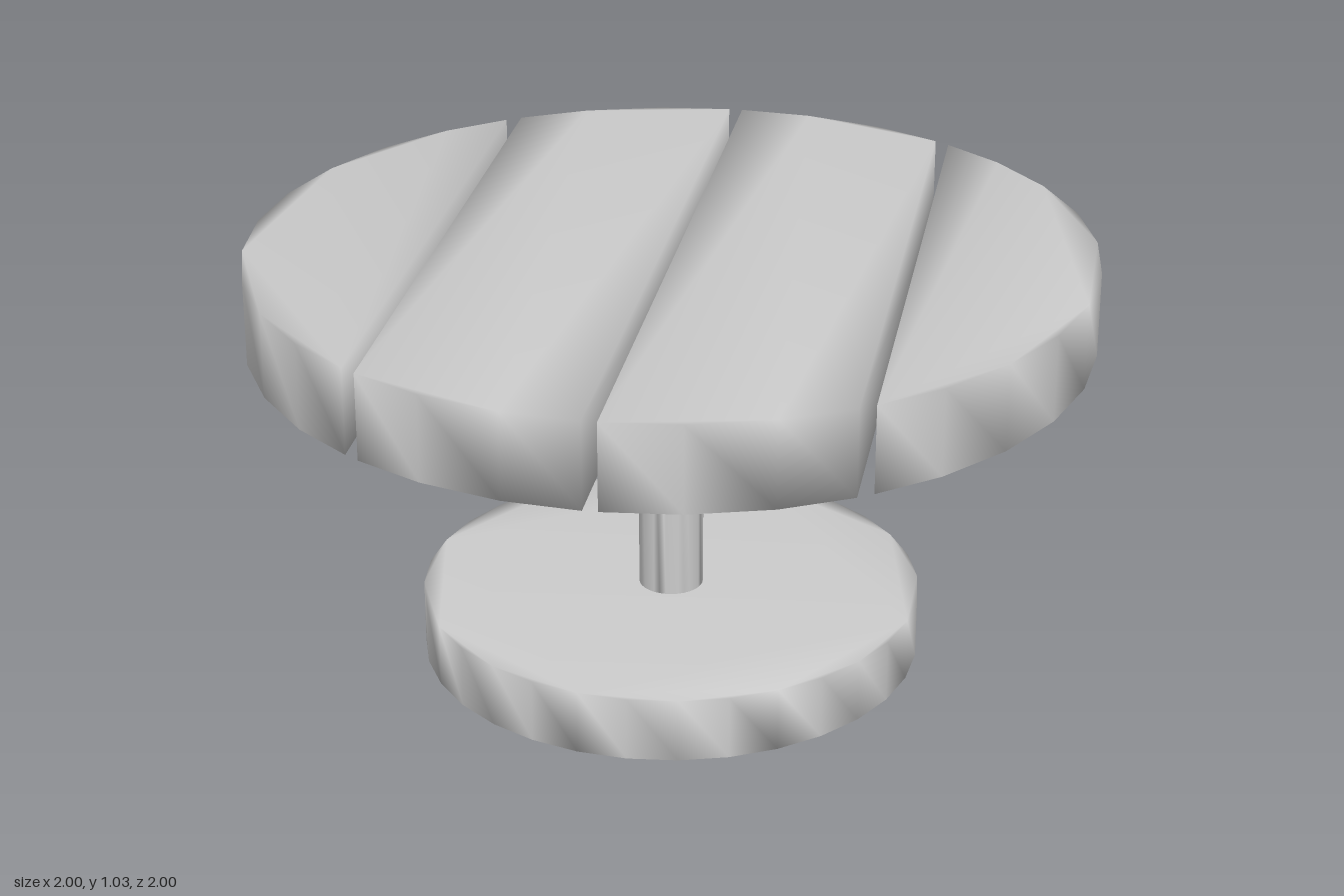
import * as THREE from 'three';
import { mergeVertices } from 'three/addons/utils/BufferGeometryUtils.js';

const SIDES = 32;
const material = new THREE.MeshStandardMaterial({ color: 0xcccccc });

// Outline of a 32-sided disc of the given radius, cut to x between a and b.
function discOutline(radius, a = -radius, b = radius) {
  const edge = [];
  for (let i = 0; i <= SIDES / 2; i++) {
    const t = Math.PI - (i * 2 * Math.PI) / SIDES;
    edge.push(new THREE.Vector2(radius * Math.cos(t), radius * Math.sin(t)));
  }
  const half = [];
  for (let i = 0; i < edge.length; i++) {
    const p = edge[i], q = edge[i + 1];
    if (p.x >= a - 1e-6 && p.x <= b + 1e-6) half.push(p);
    if (!q) continue;
    // Add the point where a cut crosses this side of the disc
    for (const x of [a, b]) {
      if (x > p.x + 1e-6 && x < q.x - 1e-6) half.push(p.clone().lerp(q, (x - p.x) / (q.x - p.x)));
    }
  }
  // Mirror to the other half, skipping points that lie on the axis
  const mirrored = half.filter((p) => p.y > 1e-6).reverse().map((p) => new THREE.Vector2(p.x, -p.y));
  return [...half, ...mirrored];
}

// Upright slab from an outline, with one smooth normal per corner.
function slab(name, outline, bottom, top) {
  const extruded = new THREE.ExtrudeGeometry(new THREE.Shape(outline), {
    depth: top - bottom,
    bevelEnabled: false,
  });
  extruded.rotateX(-Math.PI / 2).translate(0, bottom, 0);
  extruded.deleteAttribute('uv');
  extruded.deleteAttribute('normal');
  const geometry = mergeVertices(extruded, 1e-5);
  geometry.computeVertexNormals();
  const mesh = new THREE.Mesh(geometry, material);
  mesh.name = name;
  return mesh;
}

export function createModel() {
  const table = new THREE.Group();
  table.name = 'roundTable';

  // Foot and column
  table.add(slab('base', discOutline(0.605), 0, 0.155));
  table.add(slab('post', discOutline(0.078), 0.155, 0.805));

  // Round top made of four planks with narrow gaps
  const tabletop = new THREE.Group();
  tabletop.name = 'tabletop';
  const planks = {
    outerRightPlank: [-1, -0.574],
    innerRightPlank: [-0.54, -0.017],
    innerLeftPlank: [0.017, 0.54],
    outerLeftPlank: [0.574, 1],
  };
  for (const [name, [a, b]] of Object.entries(planks)) {
    tabletop.add(slab(name, discOutline(1, a, b), 0.825, 1.03));
  }
  table.add(tabletop);
  return table;
}
